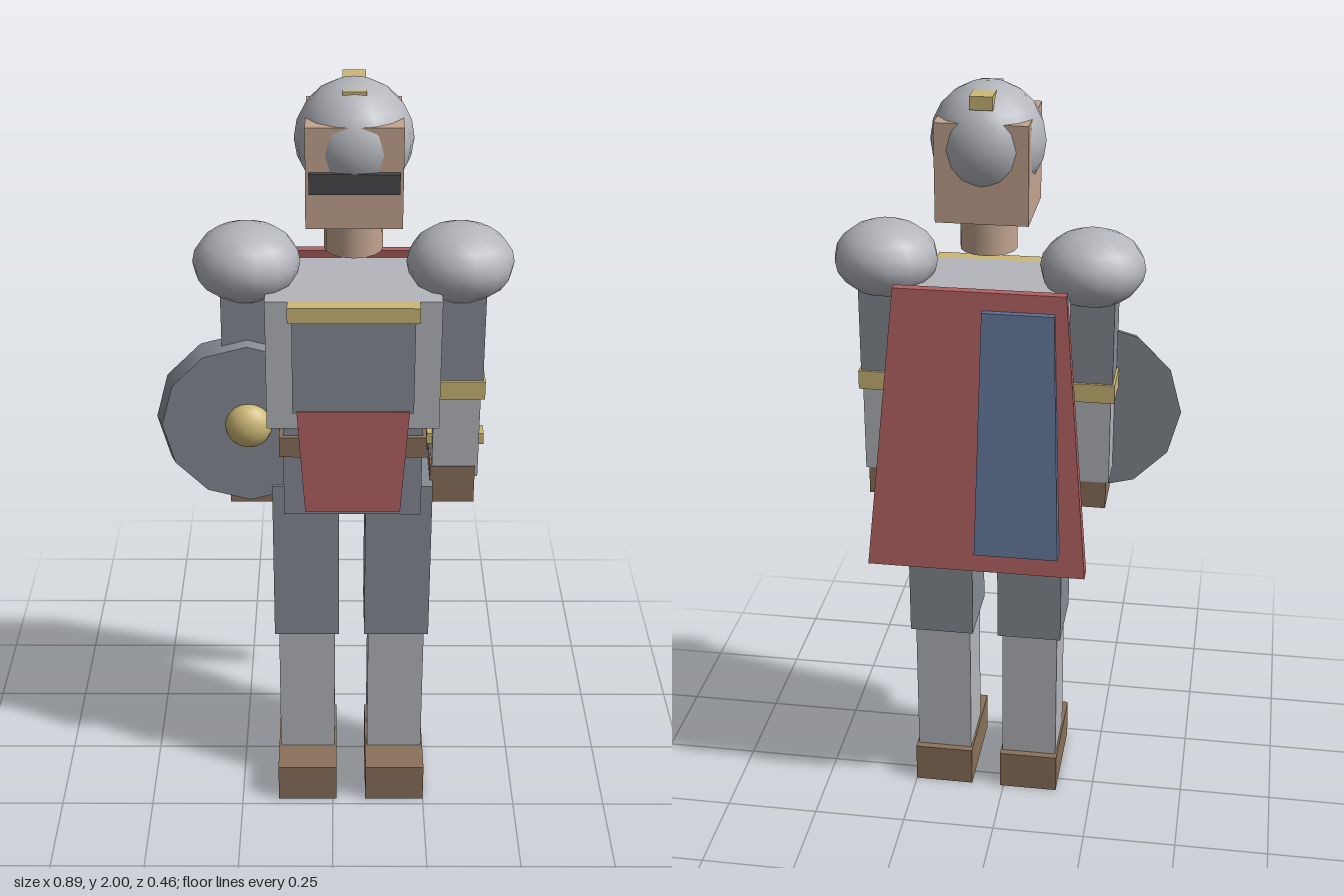
import * as THREE from 'three';

const material = (name, color) => {
  const m = new THREE.MeshStandardMaterial({ color });
  m.name = name;
  return m;
};

export function createModel() {
  const light = material('lightSteel', 0xb4b6bc);
  const steel = material('darkSteel', 0x868c94);
  const skin = material('skin', 0xc3a590);
  const red = material('redCloth', 0xb06060);
  const blue = material('blueCloth', 0x5f7396);
  const gold = material('gold', 0xcdb876);
  const brown = material('leather', 0x8a715b);
  const dark = material('visorBlack', 0x4a494e);

  const CX = 0.05; // the body's own centre line
  const CZ = 0.045;
  const model = new THREE.Group();
  model.name = 'knight';

  const add = (name, geometry, mat, parent = model) => {
    const mesh = new THREE.Mesh(geometry, mat);
    mesh.name = name;
    parent.add(mesh);
    return mesh;
  };
  // box given by its extents
  const box = (name, mat, [x0, x1], [y0, y1], [z0, z1], parent) => {
    const g = new THREE.BoxGeometry(x1 - x0, y1 - y0, z1 - z0);
    g.translate((x0 + x1) / 2, (y0 + y1) / 2, (z0 + z1) / 2);
    return add(name, g, mat, parent);
  };
  // hanging slab whose top and bottom edges differ: { y, x: [min, max], z: [back, front] }
  const slab = (name, mat, top, bottom) => {
    const g = new THREE.BoxGeometry(1, 1, 1);
    const p = g.attributes.position;
    for (let i = 0; i < p.count; i++) {
      const end = p.getY(i) > 0 ? top : bottom;
      p.setXYZ(i, end.x[p.getX(i) > 0 ? 1 : 0], end.y, end.z[p.getZ(i) > 0 ? 1 : 0]);
    }
    g.computeVertexNormals();
    return add(name, g, mat);
  };
  const ball = (name, mat, r, segments, x, y, z, scale = [1, 1, 1], parent) => {
    const mesh = add(name, new THREE.SphereGeometry(r, segments, 10), mat, parent);
    mesh.position.set(x, y, z);
    mesh.scale.set(...scale);
    return mesh;
  };

  // trunk
  box('pelvis', steel, [-0.125, 0.225], [0.895, 1.16], [-0.085, 0.175]);
  box('belt', brown, [-0.135, 0.235], [1.07, 1.125], [-0.092, 0.188]);
  box('buckle', gold, [0.01, 0.09], [1.05, 1.12], [0.17, 0.198]);
  box('torso', light, [-0.165, 0.265], [1.15, 1.495], [-0.095, 0.183]);
  box('chestPlate', steel, [-0.1, 0.2], [1.205, 1.46], [0.17, 0.207]);
  box('collarTrim', gold, [-0.11, 0.21], [1.455, 1.495], [0.18, 0.222]);
  slab('tabard', red,
    { y: 1.21, x: [-0.09, 0.19], z: [0.19, 0.21] },
    { y: 0.93, x: [-0.07, 0.17], z: [0.2, 0.22] });

  // head and helmet
  const neck = add('neck', new THREE.CylinderGeometry(0.072, 0.072, 0.105, 16), skin);
  neck.position.set(CX, 1.632, CZ);
  box('head', skin, [-0.065, 0.165], [1.675, 1.922], [-0.07, 0.165]);
  ball('helmet', light, 0.143, 16, CX, 1.857, CZ - 0.003);
  box('visor', dark, [-0.057, 0.157], [1.765, 1.815], [0.15, 0.18]);
  box('crest', gold, [0.022, 0.078], [1.955, 1.988], [-0.068, 0.107]);

  // limbs, mirrored about the body centre line
  for (const [side, s] of [['left', 1], ['right', -1]]) {
    const span = (c, w) => [CX + s * c - w / 2, CX + s * c + w / 2];
    const leg = new THREE.Group();
    leg.name = side + 'Leg';
    model.add(leg);
    box('thigh', steel, span(0.12, 0.172), [0.5, 0.96], [-0.055, 0.145], leg);
    box('shin', light, span(0.12, 0.15), [0.1, 0.51], [-0.035, 0.13], leg);
    box('boot', brown, span(0.12, 0.16), [0, 0.11], [-0.055, 0.228], leg);

    const arm = new THREE.Group();
    arm.name = side + 'Arm';
    model.add(arm);
    ball('shoulderGuard', light, 0.133, 14, CX + s * 0.263, 1.54, 0.041, [1, 0.73, 0.97], arm);
    box('upperArm', steel, span(0.263, 0.125), [1.22, 1.5], [-0.02, 0.115], arm);
    box('elbowBand', gold, span(0.263, 0.137), [1.2, 1.25], [-0.027, 0.123], arm);
    box('forearm', light, span(0.263, 0.118), [0.97, 1.21], [-0.018, 0.108], arm);
    box('hand', brown, span(0.257, 0.115), [0.895, 1.0], [-0.017, 0.112], arm);
    if (s > 0) box('armStud', gold, span(0.263, 0.145), [1.055, 1.085], [0.045, 0.09], arm);
  }

  // cape with its offset panel
  slab('cape', red,
    { y: 1.515, x: [-0.165, 0.268], z: [-0.111, -0.086] },
    { y: 0.78, x: [-0.232, 0.334], z: [-0.197, -0.155] });
  slab('capePanel', blue,
    { y: 1.47, x: [-0.138, 0.042], z: [-0.134, -0.106] },
    { y: 0.845, x: [-0.165, 0.05], z: [-0.228, -0.185] });

  // round shield on the right arm
  const disc = new THREE.CylinderGeometry(0.218, 0.235, 0.05, 12).rotateX(Math.PI / 2);
  add('shield', disc, steel).position.set(-0.212, 1.135, 0.114);
  ball('shieldBoss', gold, 0.06, 14, -0.212, 1.135, 0.136, [1, 1, 0.8]);

  return model;
}
